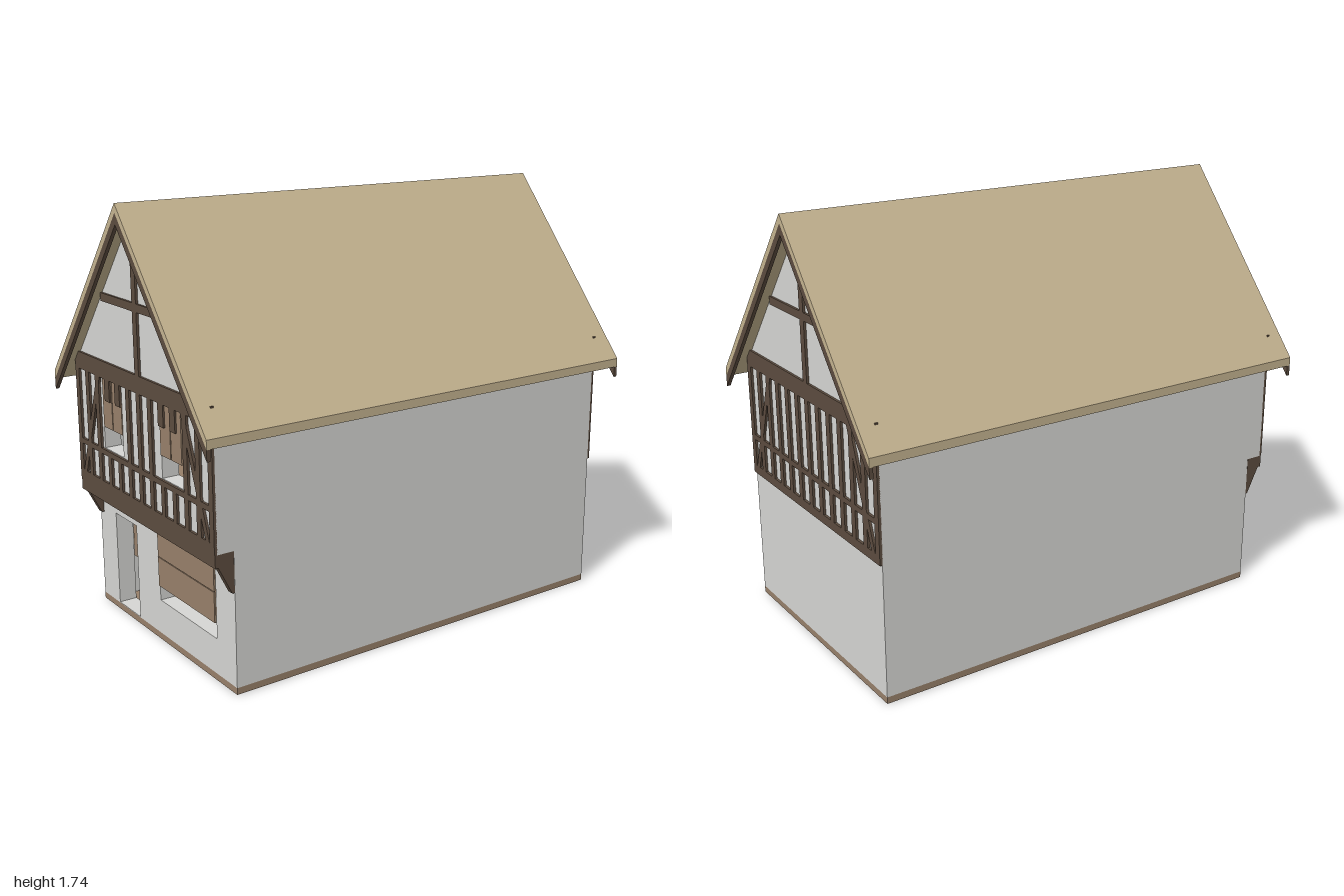
import * as THREE from 'three';

const mat = (name, color) => {
  const m = new THREE.MeshStandardMaterial({ color });
  m.name = name;
  return m;
};

export function createModel() {
  const plaster = mat('plaster', 0xd6d6d3);
  const timber = mat('darkTimber', 0x5c4c3f);
  const wood = mat('wood', 0x97806a);
  const thatch = mat('roofTan', 0xc4b390);

  const house = new THREE.Group();
  house.name = 'house';
  const SLOPE = 1.207, RIDGE = 1.74, HALF = 0.535, STEP = 0.0865;

  const add = (geo, material, name, parent = house) => {
    const mesh = new THREE.Mesh(geo, material);
    mesh.name = name;
    parent.add(mesh);
    return mesh;
  };
  // Box given by its minimum and maximum corners
  const box = (name, material, x0, x1, y0, y1, z0, z1, parent) => {
    const mesh = add(new THREE.BoxGeometry(x1 - x0, y1 - y0, z1 - z0), material, name, parent);
    mesh.position.set((x0 + x1) / 2, (y0 + y1) / 2, (z0 + z1) / 2);
    return mesh;
  };
  const poly = (pts) => new THREE.Shape(pts.map(([x, y]) => new THREE.Vector2(x, y)));
  const rectHole = (x0, x1, y0, y1) => new THREE.Path(
    [[x0, y0], [x0, y1], [x1, y1], [x1, y0]].map(([x, y]) => new THREE.Vector2(x, y)));
  // Extrude an outline from z0 to z1
  const slab = (name, material, pts, z0, z1, holes = [], parent) => {
    const shape = poly(pts);
    shape.holes = holes;
    const geo = new THREE.ExtrudeGeometry(shape, { depth: z1 - z0, bevelEnabled: false });
    geo.translate(0, 0, z0);
    return add(geo, material, name, parent);
  };

  // Base and upper floor
  box('base', wood, -HALF, HALF, 0, 0.027, -0.925, 0.86);
  box('upperFloor', wood, -0.46, 0.46, 0.52, 0.56, -0.85, 0.86);

  // Side walls
  for (const s of [-1, 1]) {
    const xs = [s * HALF, s * 0.46].sort((a, b) => a - b);
    box('lowerSideWall', plaster, ...xs, 0.027, 0.56, -0.85, 0.785);
    box('upperSideWall', plaster, ...xs, 0.56, 1.055, -0.85, 0.86);
  }

  // Front and back walls
  const gable = (y0) => {
    const top = RIDGE - 0.035, eave = top - SLOPE * HALF;
    return [[-HALF, y0], [HALF, y0], [HALF, eave], [0, top], [-HALF, eave]];
  };
  slab('lowerFrontWall', plaster,
    [[-HALF, 0.027], [HALF, 0.027], [HALF, 0.56], [-HALF, 0.56]], 0.785, 0.86,
    [rectHole(-0.395, -0.215, 0.03, 0.425), rectHole(-0.03, 0.4, 0.17, 0.425)]);
  slab('upperFrontWall', plaster, gable(0.56), 0.86, 0.93,
    [rectHole(-0.315, -0.155, 0.74, 1.03), rectHole(0.155, 0.315, 0.74, 1.03)]);
  slab('backWall', plaster, gable(0.027), -0.925, -0.85);

  // Roof and end boards are chevrons hung below the ridge line
  const chevron = (drop, thick) => {
    const w = 0.605, t = RIDGE - drop, e = t - SLOPE * w;
    return [[-w, e - thick], [0, t - thick], [w, e - thick], [w, e], [0, t], [-w, e]];
  };
  slab('roof', thatch, chevron(0, 0.035), -1, 1);
  slab('frontBargeBoard', timber, chevron(0.035, 0.043), 0.985, 1);
  slab('backBargeBoard', timber, chevron(0.035, 0.043), -1, -0.985);

  // Half-timber frame, used on both gables
  const frame = (name, z0, z1, hasWindows) => {
    const g = new THREE.Group();
    g.name = name;
    house.add(g);
    const beam = (n, x0, x1, y0, y1) => box(n, timber, x0, x1, y0, y1, z0, z1, g);
    beam('topBeam', -HALF, HALF, 1.03, 1.1);
    beam('bottomBeam', -HALF, HALF, 0.563, 0.6);
    beam('rail', -0.51, 0.51, 0.715, 0.737);
    beam('collarBeam', -0.275, 0.275, 1.34, 1.372);
    beam('kingPost', -0.016, 0.016, 1.1, 1.67);
    for (const s of [-1, 1]) {
      beam('cornerPost', s * 0.52 - 0.015, s * 0.52 + 0.015, 0.6, 1.03);
      const brace = [[-0.502, 0.6], [-0.476, 0.6], [-0.32, 1.03], [-0.346, 1.03]]
        .map(([x, y]) => [-s * x, y]);
      slab('brace', timber, brace, z0, z1, [], g);
    }
    for (let i = -5; i <= 5; i++) {
      const x = i * STEP, a = Math.abs(i);
      if (hasWindows && (a === 2 || a === 3)) {
        beam('shortStud', x - 0.014, x + 0.014, 0.6, 0.715);
        beam('windowStud', x - 0.02, x + 0.02, 0.943, 1.03);
      } else beam('stud', x - 0.015, x + 0.015, 0.6, 1.03);
    }
  };
  frame('frontFrame', 0.928, 0.94, true);
  frame('backFrame', -0.935, -0.923, false);

  // Overhang beam, joist ends and corner brackets
  box('overhangBeam', timber, -HALF, HALF, 0.51, 0.563, 0.861, 0.938);
  for (let i = -6; i < 6; i++) {
    const x = (i + 0.5) * STEP;
    box('joistEnd', timber, x - 0.011, x + 0.011, 0.5, 0.512, 0.86, 0.925);
  }
  for (const s of [-1, 1]) {
    const bracket = slab('bracket', timber, [[-0.86, 0.4], [-0.86, 0.51], [-0.925, 0.51], [-0.87, 0.4]], -0.014, 0.014);
    bracket.rotation.y = Math.PI / 2;
    bracket.position.x = s * 0.52;
  }

  // Shutters and half door
  box('shopShutterLower', wood, -0.025, 0.4, 0.235, 0.356, 0.861, 0.868);
  box('shopShutterUpper', wood, -0.025, 0.4, 0.359, 0.48, 0.861, 0.868);
  for (const s of [-1, 1])
    for (const c of [0.191, 0.272])
      box('windowShutter', wood, s * c - 0.038, s * c + 0.038, 0.83, 1.03, 0.925, 0.933);
  box('halfDoor', wood, -0.395, -0.215, 0.222, 0.425, 0.775, 0.784);

  // Inner staircase
  for (let i = 0; i < 16; i++)
    box('stair', wood, -0.395, -0.27, 0.027, 0.057 + i * 0.03, 0.36 - i * 0.045, 0.405 - i * 0.045);

  return house;
}
